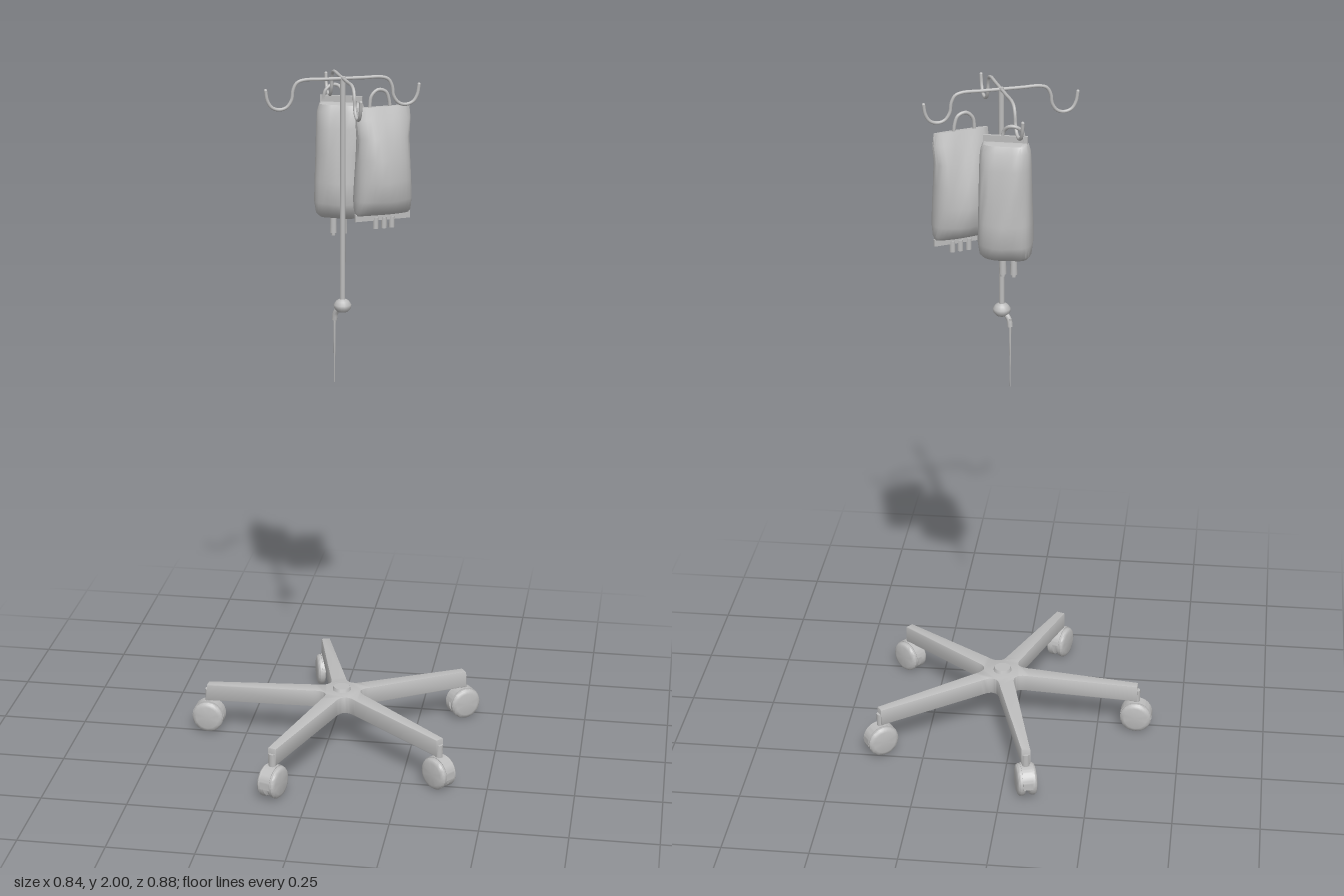
import * as THREE from 'three';
import { toCreasedNormals } from 'three/addons/utils/BufferGeometryUtils.js';

const grey = new THREE.MeshStandardMaterial({ color: 0xbcbcbc });
grey.name = 'light grey';

const CX = 0.04; // pole axis in x
const LEG_ANGLES = [0, 1, 2, 3, 4].map(i => THREE.MathUtils.degToRad(38.2 + 72 * i));

function add(parent, name, geometry, x = 0, y = 0, z = 0) {
  const m = new THREE.Mesh(geometry, grey);
  m.name = name;
  m.position.set(x, y, z);
  parent.add(m);
  return m;
}

function rod(parent, name, points, radius, segments = 32) {
  const curve = new THREE.CatmullRomCurve3(points.map(p => new THREE.Vector3(...p)));
  return add(parent, name, new THREE.TubeGeometry(curve, segments, radius, 8));
}

// Five-armed star with filleted valleys, sloping down toward the tips
function starBase() {
  const s = new THREE.Shape();
  const at = (a, r, side) => [r * Math.cos(a) - side * Math.sin(a), r * Math.sin(a) + side * Math.cos(a)];
  LEG_ANGLES.forEach((a, i) => {
    const start = at(a, 0.085, -0.023);
    if (i === 0) s.moveTo(...start);
    s.lineTo(...at(a, 0.41, -0.013));
    s.lineTo(...at(a, 0.41, 0.013));
    s.lineTo(...at(a, 0.085, 0.023));
    const mid = a + Math.PI / 5;
    s.quadraticCurveTo(0.032 * Math.cos(mid), 0.032 * Math.sin(mid), ...at(a + Math.PI * 0.4, 0.085, -0.023));
  });
  const g = new THREE.ExtrudeGeometry(s, {
    depth: 0.046, bevelEnabled: true, bevelSize: 0.003, bevelThickness: 0.003, bevelOffset: -0.003,
    bevelSegments: 2, curveSegments: 10,
  });
  g.rotateX(Math.PI / 2);
  const p = g.attributes.position;
  for (let i = 0; i < p.count; i++) {
    const r = Math.hypot(p.getX(i), p.getZ(i));
    p.setY(i, p.getY(i) + 0.166 - 0.046 * r);
  }
  return toCreasedNormals(g, 0.6);
}

// Twin-wheel caster rolling along its local x
function caster() {
  const g = new THREE.Group();
  g.name = 'caster';
  const profile = [[0, -0.012], [0.036, -0.012], [0.044, -0.009], [0.047, -0.003],
    [0.047, 0.005], [0.043, 0.01], [0.034, 0.013], [0, 0.013]].map(p => new THREE.Vector2(...p));
  for (const side of [-1, 1]) {
    const w = add(g, 'casterWheel', toCreasedNormals(new THREE.LatheGeometry(profile, 24), 0.7), 0, 0.047, side * 0.016);
    w.rotation.x = side * Math.PI / 2;
  }
  // hood between the wheels
  const hood = new THREE.Shape();
  hood.absarc(0, 0, 0.048, -0.2, Math.PI * 0.95);
  const h = new THREE.ExtrudeGeometry(hood, { depth: 0.03, bevelEnabled: false, curveSegments: 16 });
  add(g, 'casterHood', toCreasedNormals(h, 0.6), 0, 0.048, -0.015);
  add(g, 'casterStem', new THREE.CylinderGeometry(0.011, 0.011, 0.055, 12), 0, 0.105, 0);
  return g;
}

// Soft bag lofted through rounded sections [y, half width, half depth]
function bagGeometry(sections, power, sag) {
  const n = 28, pos = [], idx = [];
  const pw = v => Math.sign(v) * Math.abs(v) ** power;
  sections.forEach(([y, w, d]) => {
    for (let i = 0; i < n; i++) {
      const t = i / n * Math.PI * 2, c = pw(Math.cos(t)), s = pw(Math.sin(t));
      pos.push(w * c, y, d * s * (1 + sag * Math.sin(c * 5 + y * 16)));
    }
  });
  for (let k = 0; k < sections.length - 1; k++) {
    for (let i = 0; i < n; i++) {
      const a = k * n + i, b = k * n + (i + 1) % n;
      idx.push(a, a + n, b, b, a + n, b + n);
    }
  }
  // end caps
  const top = (sections.length - 1) * n, c = pos.length / 3;
  pos.push(0, sections[0][0], 0, 0, sections[sections.length - 1][0], 0);
  for (let i = 0; i < n; i++) {
    const j = (i + 1) % n;
    idx.push(c, i, j, c + 1, top + j, top + i);
  }
  const g = new THREE.BufferGeometry();
  g.setAttribute('position', new THREE.Float32BufferAttribute(pos, 3));
  g.setIndex(idx);
  return toCreasedNormals(g, 0.75);
}

export function createModel() {
  const model = new THREE.Group();
  model.name = 'dripStand';

  // Rolling base
  add(model, 'starBase', starBase(), CX, 0, 0);
  add(model, 'hubCap', new THREE.CylinderGeometry(0.024, 0.03, 0.016, 12), CX, 0.168, 0);
  for (const a of LEG_ANGLES) {
    const c = caster();
    c.position.set(CX + 0.407 * Math.cos(a), 0, 0.407 * Math.sin(a));
    c.rotation.y = -a;
    model.add(c);
  }

  // Upper pole with its clamp
  add(model, 'upperPole', new THREE.CylinderGeometry(0.0075, 0.0075, 0.65, 14), CX, 1.675, 0);
  const collar = [[0, 0], [0.016, 0], [0.024, 0.01], [0.025, 0.02], [0.018, 0.03], [0.009, 0.036]]
    .map(p => new THREE.Vector2(...p));
  add(model, 'collar', new THREE.LatheGeometry(collar, 18), CX, 1.335, 0);
  rod(model, 'clampLever', [[CX, 1.345, 0], [0.027, 1.338, -0.006], [0.018, 1.325, -0.011], [0.015, 1.305, -0.014]], 0.008, 12);
  add(model, 'clampSpike', new THREE.CylinderGeometry(0.004, 0.001, 0.21, 8), 0.015, 1.225, -0.015);

  // Four hook arms
  const hookAngle = Math.atan2(-0.08, 0.2025);
  for (let i = 0; i < 4; i++) {
    const arm = rod(model, 'hookArm', [[0, 1.995, 0], [0.06, 1.995, 0], [0.108, 1.995, 0], [0.128, 1.988, 0],
      [0.139, 1.968, 0], [0.143, 1.942, 0], [0.157, 1.922, 0], [0.177, 1.916, 0], [0.198, 1.923, 0],
      [0.21, 1.942, 0], [0.215, 1.97, 0]], 0.0048, 48);
    arm.position.x = CX;
    arm.rotation.y = -(hookAngle + i * Math.PI / 2);
    add(arm, 'hookTip', new THREE.SphereGeometry(0.005, 8, 6), 0.215, 1.97, 0);
  }

  // Full bag at the back
  const back = new THREE.Group();
  back.name = 'backBag';
  back.position.set(0.012, 0, -0.15);
  back.rotation.y = -0.05;
  model.add(back);
  add(back, 'bagBody', bagGeometry([[1.572, 0.06, 0.03], [1.585, 0.07, 0.05], [1.62, 0.074, 0.068],
    [1.68, 0.073, 0.064], [1.76, 0.071, 0.056], [1.83, 0.07, 0.046], [1.875, 0.068, 0.036],
    [1.895, 0.062, 0.027], [1.9, 0.058, 0.012]], 0.72, 0.06));
  add(back, 'topSeam', new THREE.BoxGeometry(0.12, 0.025, 0.008), 0, 1.905, 0);
  for (const x of [-0.022, 0.008]) {
    add(back, 'port', new THREE.CylinderGeometry(0.009, 0.01, 0.055, 12), x, 1.55, 0);
    add(back, 'portTip', new THREE.CylinderGeometry(0.006, 0.006, 0.02, 10), x, 1.525, 0);
  }
  rod(back, 'hangerLoop', [[-0.05, 1.905, 0], [-0.045, 1.93, 0], [-0.03, 1.945, -0.008], [-0.01, 1.945, -0.008],
    [0.004, 1.93, 0], [0.01, 1.905, 0]], 0.005, 24);

  // Flatter bag at the side
  const side = new THREE.Group();
  side.name = 'sideBag';
  side.position.set(0.14, 0, -0.083);
  side.rotation.y = 0.51;
  model.add(side);
  add(side, 'bagBody', bagGeometry([[1.6, 0.078, 0.014], [1.612, 0.083, 0.036], [1.645, 0.084, 0.054],
    [1.7, 0.081, 0.058], [1.76, 0.078, 0.05], [1.82, 0.077, 0.036], [1.87, 0.082, 0.019],
    [1.905, 0.078, 0.006]], 0.85, 0.08));
  add(side, 'bottomSeam', new THREE.BoxGeometry(0.164, 0.02, 0.008), 0, 1.593, 0);
  for (const x of [-0.02, 0.005, 0.028]) {
    add(side, 'port', new THREE.CylinderGeometry(0.008, 0.008, 0.032, 12), x, 1.575, 0);
  }
  rod(side, 'hangerLoop', [[-0.04, 1.9, 0], [-0.035, 1.935, 0], [-0.015, 1.952, 0], [0.008, 1.945, 0],
    [0.018, 1.92, 0], [0.02, 1.9, 0]], 0.005, 24);

  return model;
}
